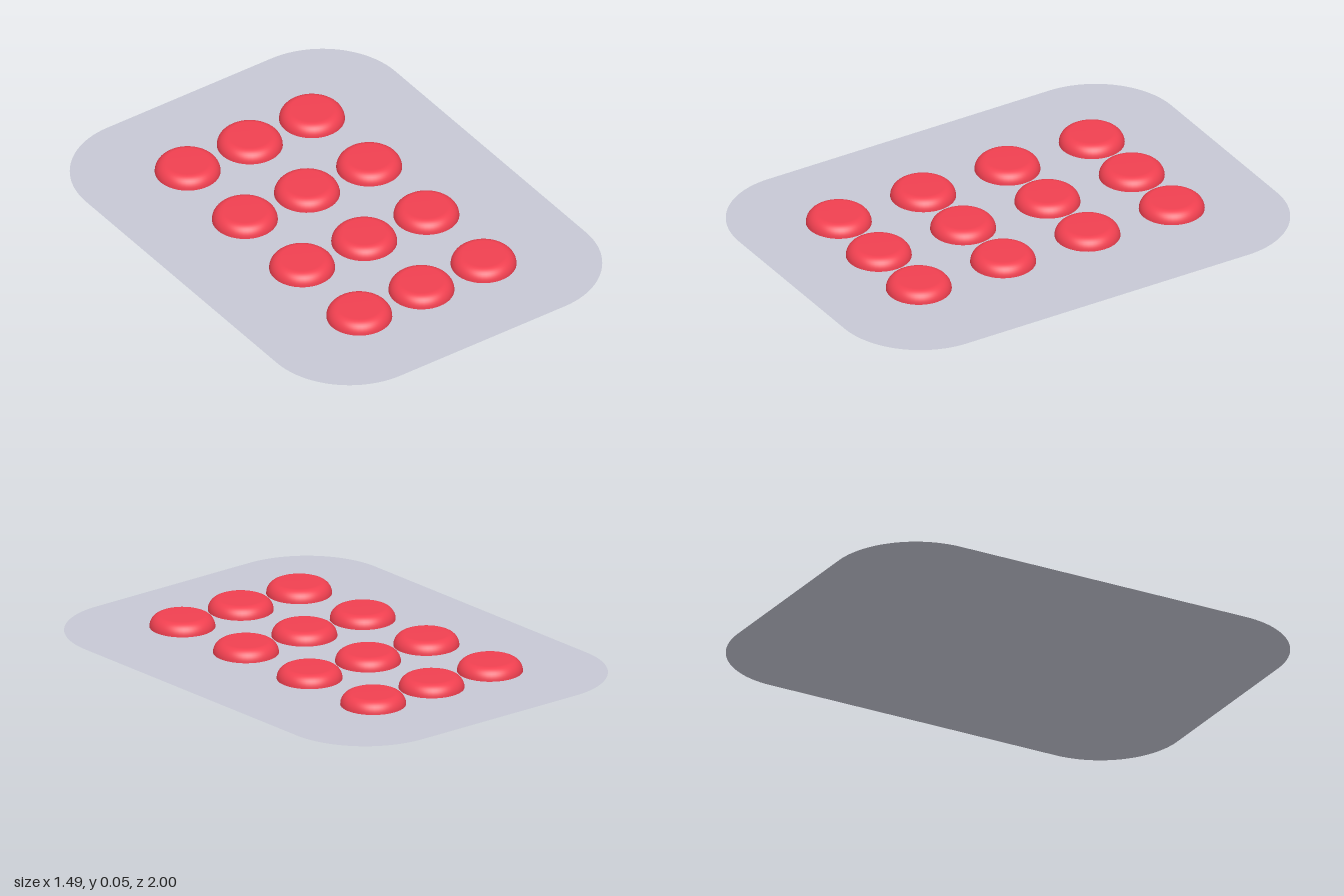
import * as THREE from 'three';

// Flat rounded-rectangle outline
function roundedRect(w, d, r) {
  const s = new THREE.Shape();
  const x = w / 2 - r, y = d / 2 - r;
  s.absarc(x, y, r, 0, Math.PI / 2);
  s.absarc(-x, y, r, Math.PI / 2, Math.PI);
  s.absarc(-x, -y, r, Math.PI, Math.PI * 1.5);
  s.absarc(x, -y, r, Math.PI * 1.5, Math.PI * 2);
  s.closePath();
  return s;
}

// Button profile: flat base, quarter-round edge, flat top
function buttonGeometry(radius, bottom, top, round) {
  const points = [new THREE.Vector2(0, bottom), new THREE.Vector2(radius, bottom), new THREE.Vector2(radius, bottom)];
  const steps = 10;
  for (let i = 0; i <= steps; i++) {
    const a = (i / steps) * Math.PI / 2;
    points.push(new THREE.Vector2(
      radius - round + round * Math.cos(a),
      bottom + (top - bottom) * Math.sin(a)
    ));
  }
  points.push(new THREE.Vector2(0, top));
  return new THREE.LatheGeometry(points, 48);
}

export function createModel() {
  const model = new THREE.Group();
  model.name = 'keypad';

  // Thin backing sheet
  const sheet = new THREE.Mesh(
    new THREE.ShapeGeometry(roundedRect(1.49, 2, 0.35), 24).rotateX(-Math.PI / 2),
    new THREE.MeshStandardMaterial({ color: 0xc6c8d4, side: THREE.DoubleSide })
  );
  sheet.name = 'backingSheet';
  model.add(sheet);

  // Three by four grid of domed buttons
  const buttons = new THREE.Group();
  buttons.name = 'buttons';
  const geometry = buttonGeometry(0.13, 0.007, 0.055, 0.045);
  const red = new THREE.MeshStandardMaterial({ color: 0xf04050 });
  for (let row = 0; row < 4; row++) {
    for (let col = 0; col < 3; col++) {
      const button = new THREE.Mesh(geometry, red);
      button.name = `button${row * 3 + col + 1}`;
      button.position.set(-0.307 + col * 0.2995, 0, -0.577 + row * 0.39);
      buttons.add(button);
    }
  }
  model.add(buttons);
  return model;
}
